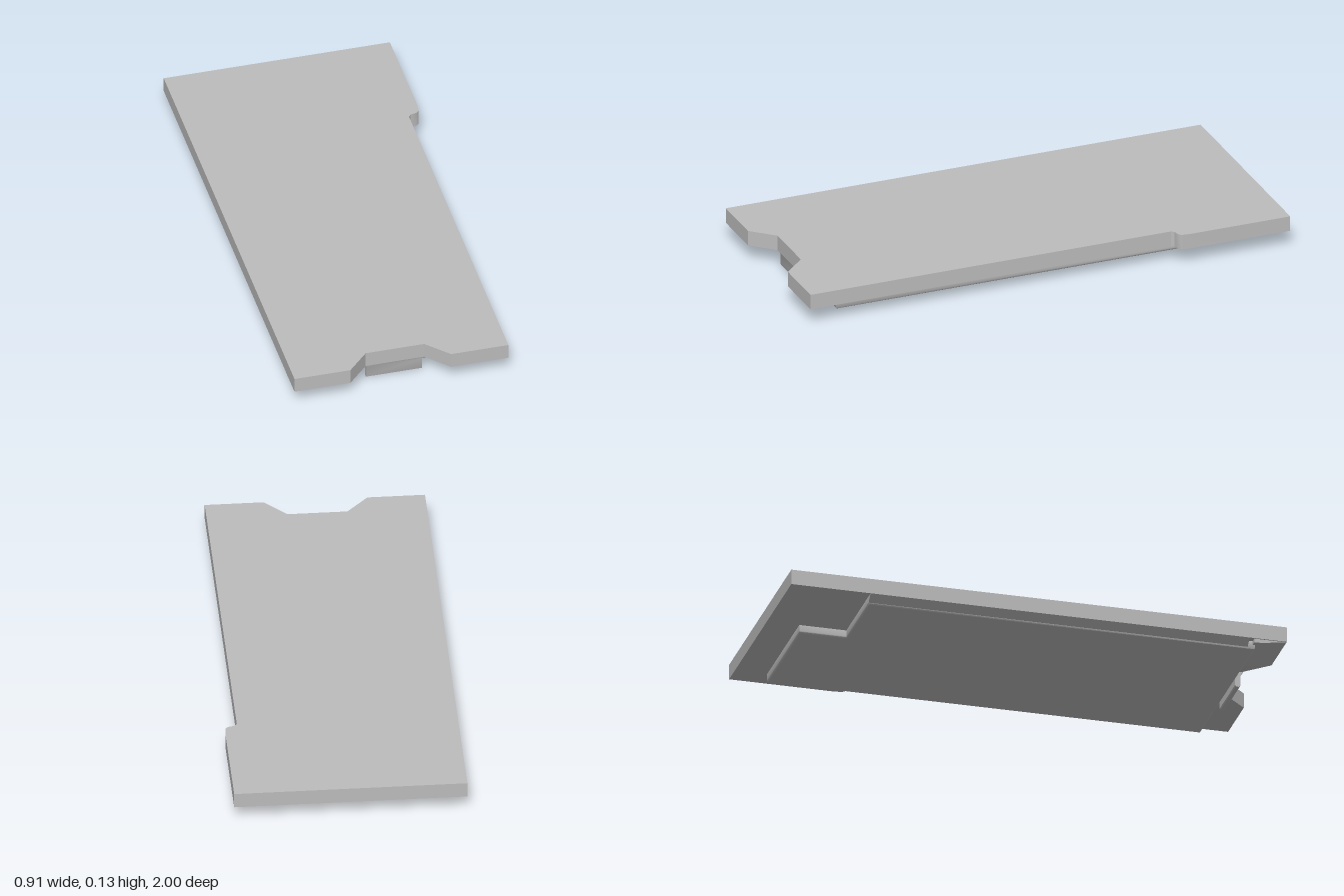
import * as THREE from 'three';
import { toCreasedNormals } from 'three/addons/utils/BufferGeometryUtils.js';

const TOP = 0.127, UNDER = 0.065;

function shapeOf(points) {
  return new THREE.Shape(points.map(([x, y]) => new THREE.Vector2(x, y)));
}

export function createModel() {
  const group = new THREE.Group();
  const grey = new THREE.MeshStandardMaterial({ color: 0xbcbcbc });
  grey.name = 'plain grey';

  function add(name, geometry) {
    const mesh = new THREE.Mesh(toCreasedNormals(geometry, 0.6), grey);
    mesh.name = name;
    group.add(mesh);
  }

  // Slab from an (x, z) outline, extruded downward from y = top
  function slab(points, top, height, bevel = 0) {
    const geometry = new THREE.ExtrudeGeometry(shapeOf(points), {
      depth: height - 2 * bevel,
      bevelEnabled: bevel > 0,
      bevelSize: bevel, bevelThickness: bevel, bevelOffset: -bevel, bevelSegments: 4,
    });
    return geometry.rotateX(Math.PI / 2).translate(0, top - bevel, 0);
  }

  // Bar from a (z, y) profile, extruded from x0 to x1
  function barAlongX(points, x0, x1) {
    const geometry = new THREE.ExtrudeGeometry(shapeOf(points), { depth: x1 - x0, bevelEnabled: false });
    return geometry.rotateY(-Math.PI / 2).translate(x1, 0, 0);
  }

  // Main cover plate with the front notch and the wider rear step
  add('coverPlate', slab([
    [-0.455, -1], [0.455, -1], [0.455, -0.585], [0.451, -0.545], [0.44, -0.535],
    [0.415, -0.53], [0.405, -0.518], [0.405, 1], [0.175, 1], [0.09, 0.91],
    [-0.145, 0.91], [-0.23, 1], [-0.455, 1],
  ], TOP, TOP - UNDER));

  // Raised underside pad with one cut-out rear corner and rounded edges
  add('undersidePad', slab([
    [-0.1, -0.87], [0.375, -0.87], [0.375, 0.88], [-0.425, 0.88],
    [-0.425, -0.68], [-0.1, -0.68],
  ], 0.08, 0.05, 0.01));

  // Sloped filler between the pad and the plate edge
  const chamfer = new THREE.ExtrudeGeometry(
    shapeOf([[-0.455, UNDER], [-0.423, 0.037], [-0.41, 0.037], [-0.41, UNDER + 0.005], [-0.45, UNDER + 0.005]]),
    { depth: 1.53, bevelEnabled: false });
  add('sideChamfer', chamfer.translate(0, 0, -0.68));

  // Latch tab hanging below the front notch
  add('latchTab', barAlongX([
    [0.878, 0.08], [0.878, 0.006], [0.882, 0.001], [0.887, 0], [0.893, 0],
    [0.898, 0.003], [0.9, 0.008], [0.9, 0.05], [0.908, 0.066], [0.908, 0.08],
  ], -0.14, 0.085));

  // Shallow ramp under the front corner
  add('frontRamp', barAlongX([[0.87, 0.049], [0.9, 0.05], [1, UNDER], [0.87, UNDER + 0.002]], -0.45, -0.23));

  return group;
}
